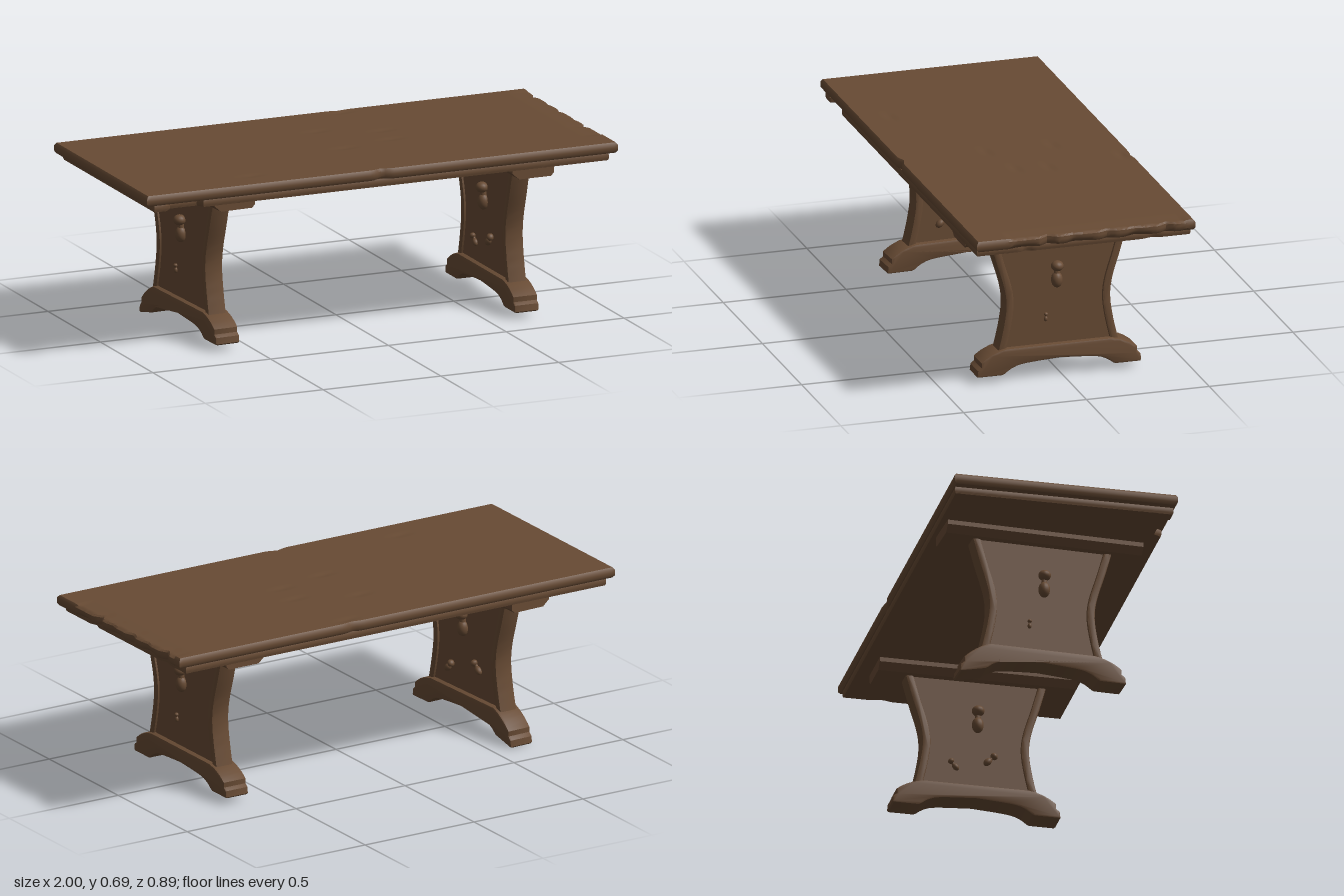
import * as THREE from 'three';
import { toCreasedNormals } from 'three/addons/utils/BufferGeometryUtils.js';

const wood = new THREE.MeshStandardMaterial({ color: 0x684b34 });
wood.name = 'brown wood';

function part(name, geometry, parent) {
  const mesh = new THREE.Mesh(geometry, wood);
  mesh.name = name;
  parent.add(mesh);
  return mesh;
}

// Triangular bump: 1 at c, 0 beyond w
const bump = (v, c, w) => Math.max(0, 1 - Math.abs(v - c) / w);

// Board whose vertices are worn by a rule
function board(w, h, d, y, round, wear) {
  const g = new THREE.BoxGeometry(w, h, d, 120, 4, 70);
  g.translate(0, y, 0);
  const p = g.attributes.position;
  const v = new THREE.Vector3();
  for (let i = 0; i < p.count; i++) {
    v.fromBufferAttribute(p, i);
    const t = (v.y - y) / (h / 2); // -1 bottom, 1 top
    const inset = round * t ** 4;
    v.x *= 1 - inset / (w / 2);
    v.z *= 1 - inset / (d / 2);
    wear(v, t);
    p.setXYZ(i, v.x, v.y, v.z);
  }
  g.computeVertexNormals();
  return toCreasedNormals(g, 0.7);
}

// Outline drawn in (z, y), extruded along x and centred
function sideExtrude(points, width, bevel) {
  const shape = new THREE.Shape(points.map(([z, y]) => new THREE.Vector2(z, y)));
  const g = new THREE.ExtrudeGeometry(shape, {
    depth: width - 2 * bevel, bevelEnabled: bevel > 0, bevelThickness: bevel,
    bevelSize: bevel, bevelOffset: -bevel, bevelSegments: 2,
  });
  g.translate(0, 0, -(width - 2 * bevel) / 2);
  g.rotateY(-Math.PI / 2);
  return toCreasedNormals(g, 0.6);
}

// Smooth curve through a few points
function smooth(points, n) {
  const c = new THREE.SplineCurve(points.map(([z, y]) => new THREE.Vector2(z, y)));
  return c.getPoints(n).map((p) => [p.x, p.y]);
}
const mirror = (points) => points.map(([z, y]) => [-z, y]).reverse();

const waist = smooth([[0.285, 0.6], [0.255, 0.49], [0.222, 0.38], [0.213, 0.3], [0.225, 0.21], [0.247, 0.115]], 20);
const footTop = smooth([[0.21, 0.133], [0.25, 0.124], [0.29, 0.106], [0.318, 0.086]], 6)
  .concat([[0.318, 0.066], [0.332, 0.055], [0.335, 0.03], [0.33, 0.025], [0.23, 0.025]]);
const arch = smooth([[0.22, 0.03], [0.19, 0.05], [0.14, 0.064], [0, 0.074]], 10);

// Turned peg: a ball, a neck and a drop
function peg(parent, side, y, z, s, turn = 0) {
  const g = new THREE.Group();
  g.name = 'peg';
  const ball = part('pegBall', new THREE.SphereGeometry(0.025, 16, 12), g);
  ball.position.set(side * 0.016, 0.028, 0);
  ball.scale.y = 0.85;
  const neck = part('pegNeck', new THREE.CylinderGeometry(0.011, 0.013, 0.04, 12), g);
  neck.position.set(side * 0.01, 0, 0);
  const drop = part('pegDrop', new THREE.SphereGeometry(0.023, 16, 12), g);
  drop.position.set(side * 0.01, -0.03, 0);
  drop.scale.y = 1.4;
  g.position.set(side * 0.03, y, z);
  g.scale.setScalar(s);
  g.rotation.x = turn;
  parent.add(g);
}

// Trestle: cross bar, waisted panel with rims, arched foot, pegs
function trestle(name, dip) {
  const g = new THREE.Group();
  g.name = name;

  const section = new THREE.Shape([[-0.088, 0.627], [-0.088, 0.604], [-0.06, 0.579], [0.075, 0.579],
    [0.088, 0.592], [0.088, 0.627]].map(([x, y]) => new THREE.Vector2(x, y)));
  const bar = new THREE.ExtrudeGeometry(section, { depth: 0.788, bevelEnabled: false });
  bar.translate(0, 0, -0.394);
  part('crossBar', bar, g);

  const inner = waist.map(([z, y]) => [z - 0.033, y]);
  part('panel', sideExtrude([...inner, ...mirror(inner)], 0.06, 0), g);
  const rim = [...waist, ...[...inner].reverse()];
  part('frontRim', sideExtrude(rim, 0.078, 0.008), g);
  part('backRim', sideExtrude(mirror(rim), 0.078, 0.008), g);

  const half = [...footTop, ...arch];
  const foot = sideExtrude([...half, ...mirror(half).slice(1)], 0.104, 0.008);
  const p = foot.attributes.position;
  for (let i = 0; i < p.count; i++) {
    const k = THREE.MathUtils.clamp((-p.getZ(i) - 0.22) / 0.11, 0, 1);
    p.setY(i, p.getY(i) - dip * k);
  }
  foot.computeVertexNormals();
  part('foot', toCreasedNormals(foot, 0.6), g);

  for (const side of [-1, 1]) peg(g, side, 0.424, 0.007, 1);
  return g;
}

export function createModel() {
  const model = new THREE.Group();
  model.name = 'trestleTable';

  // Table top: nicked right-hand end, small chips and shallow knots
  const nicks = [[-0.33, 0.02], [-0.09, 0.014], [0.15, 0.024], [-0.2, 0.007], [0.05, 0.007]];
  const knots = [[0, -0.18], [0.24, -0.09], [0.22, 0.04], [0, 0.09], [-0.5, 0.32], [0.2, -0.4]];
  part('tableTop', board(2, 0.042, 0.89, 0.671, 0.008, (v, t) => {
    const end = THREE.MathUtils.smoothstep(v.x, 0.9, 0.99);
    let cut = 0;
    for (const [z, depth] of nicks) cut += depth * bump(v.z, z, 0.035);
    const worn = v.z < 0.3 && v.z > -0.4 ? 1 : 0;
    if (t < 0) cut += worn * 0.012 * -t * Math.max(0, Math.sin(v.z * 27 + 1));
    v.x -= cut * end;
    if (t > 0.9) {
      v.y -= 0.004 * worn * end;
      for (const [x, z] of knots) v.y -= 0.004 * bump(v.x, x, 0.07) * bump(v.z, z, 0.025);
    }
    if (v.z > 0.42) v.z -= 0.014 * bump(v.x, 0, 0.04);
    if (v.z < -0.42) v.z += 0.008 * bump(v.x, 0.2, 0.04);
  }), model);

  // Under board, chipped along the front left
  part('underBoard', board(1.93, 0.03, 0.87, 0.637, 0.003, (v, t) => {
    if (v.z > 0.4 && v.x > -0.9 && v.x < -0.76) v.z -= 0.03;
    if (v.x > 0.94) v.x -= 0.012 * (bump(v.z, 0.23, 0.03) + bump(v.z, -0.28, 0.04));
    if (t < -0.9) v.y += 0.008 * bump(v.x, 0, 0.04) * bump(v.z, 0, 0.04);
  }), model);

  const right = trestle('rightHandTrestle', 0);
  right.name = 'leftTrestle';
  right.position.set(0.655, 0, 0.016);
  peg(right, 1, 0.245, 0.05, 0.34);
  peg(right, -1, 0.255, 0.06, 0.6, 0.8);
  peg(right, -1, 0.22, -0.09, 0.5, -0.7);
  model.add(right);

  const left = trestle('rightTrestle', 0.025);
  left.position.set(-0.615, 0, -0.017);
  left.rotation.y = 0.045;
  peg(left, 1, 0.26, -0.08, 0.6, 0.8);
  peg(left, 1, 0.215, 0.1, 0.6, -0.8);
  peg(left, -1, 0.245, -0.05, 0.34);
  model.add(left);

  return model;
}
